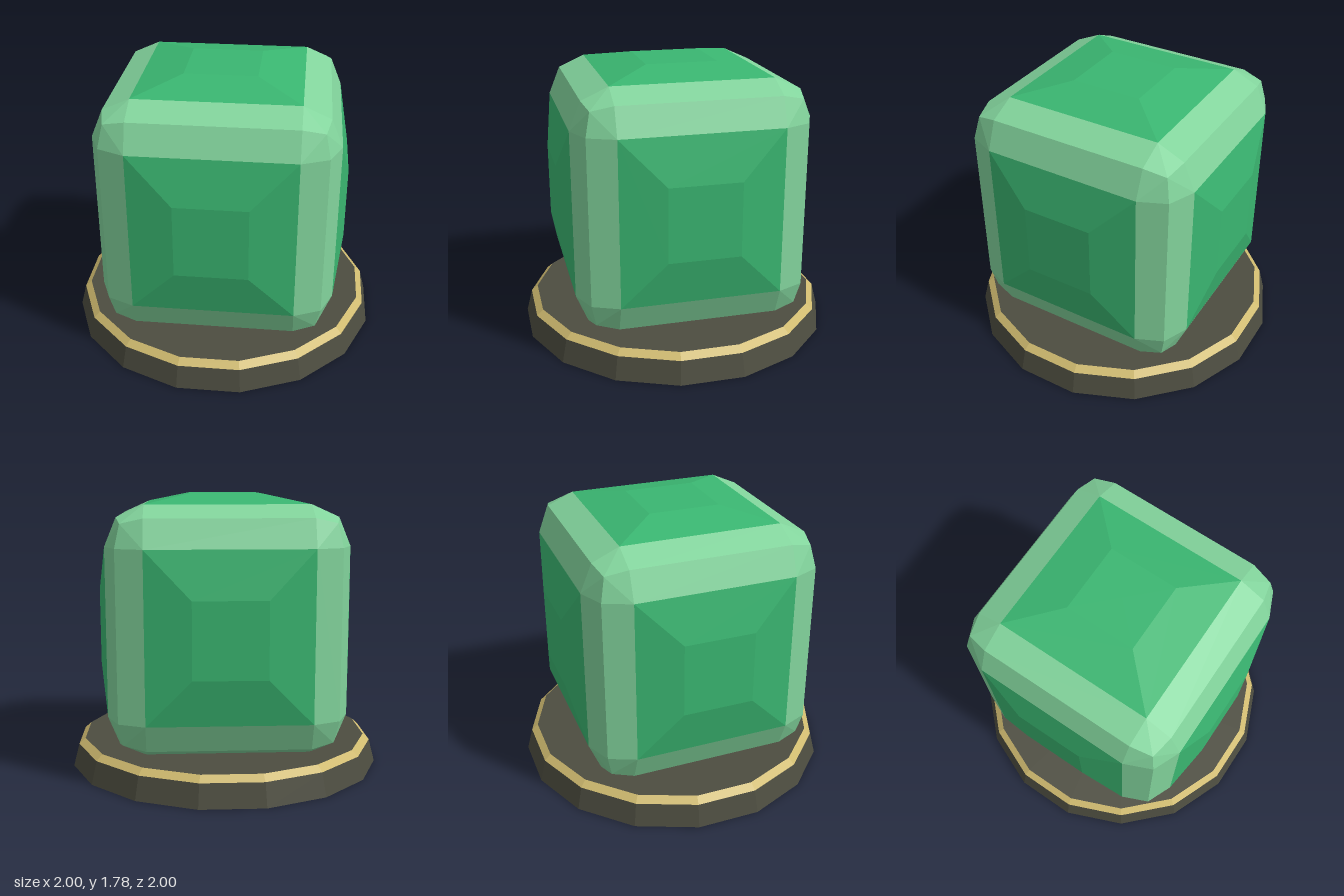
import * as THREE from 'three';

const mat = (name, color) => Object.assign(new THREE.MeshStandardMaterial({ color }), { name });

// Give every facet its own hard-edged normal
function faceted(geometry) {
  const g = geometry.index ? geometry.toNonIndexed() : geometry;
  g.computeVertexNormals();
  return g;
}

// One quarter of a gem face (facing +z), repeated by rotation
const A = 0.225, B = 0.503, E = 0.67, C = 0.64;
const centre = [0, 0, 0.8];
const tableL = [-A, A, 0.8], tableR = [A, A, 0.8];
const slopeL = [-B, B, 0.742], slopeR = [B, B, 0.742];
const edgeL = [-B, E, E], edgeR = [B, E, E], edgeSide = [E, B, E];
const corner = [C, C, C];
const quad = (a, b, c, d) => [a, b, c, a, c, d];
const FACET = [centre, tableR, tableL, ...quad(tableL, tableR, slopeR, slopeL)];
const BEVEL = [
  ...quad(slopeL, slopeR, edgeR, edgeL),
  slopeR, corner, edgeR,
  slopeR, edgeSide, corner,
];

function gemGeometry(quarter) {
  const h = Math.PI / 2;
  const turns = [[0, 0], [0, h], [0, 2 * h], [0, 3 * h], [h, 0], [-h, 0]];
  const points = [];
  for (const [rx, ry] of turns) {
    const face = new THREE.Matrix4().makeRotationFromEuler(new THREE.Euler(rx, ry, 0));
    for (let i = 0; i < 4; i++) {
      const m = face.clone().multiply(new THREE.Matrix4().makeRotationZ(i * h));
      for (const p of quarter) points.push(new THREE.Vector3(...p).applyMatrix4(m));
    }
  }
  const g = new THREE.BufferGeometry().setFromPoints(points);
  g.scale(1, 1.045, 1);
  return faceted(g);
}

export function createModel() {
  const model = new THREE.Group();
  model.name = 'gemOnBase';
  const green = mat('gem green', 0x3ab671);
  const lightGreen = mat('light green', 0x82d49c);
  const dark = mat('dark olive', 0x4d4d40);
  const gold = mat('gold', 0xcfba6f);

  const add = (parent, name, geometry, material, y = 0) => {
    const mesh = new THREE.Mesh(geometry, material);
    mesh.name = name;
    mesh.position.y = y;
    parent.add(mesh);
  };

  // Sixteen-sided plinth with a gold bevel
  const toOuter = 1 / Math.cos(Math.PI / 16);
  const drum = (top, bottom, height) => faceted(new THREE.CylinderGeometry(
    top * toOuter, bottom * toOuter, height, 16, 1, false, Math.PI / 16));
  const base = new THREE.Group();
  base.name = 'base';
  add(base, 'plinth', drum(0.963, 1, 0.145), dark, 0.0725);
  add(base, 'goldBevel', drum(0.922, 0.963, 0.037), [gold, dark, dark], 0.1635);

  // Faceted cube gem sunk slightly into the plinth
  const gem = new THREE.Group();
  gem.name = 'gem';
  gem.position.y = 0.94;
  add(gem, 'gemFacets', gemGeometry(FACET), green);
  add(gem, 'gemBevels', gemGeometry(BEVEL), lightGreen);

  model.add(base, gem);
  return model;
}
